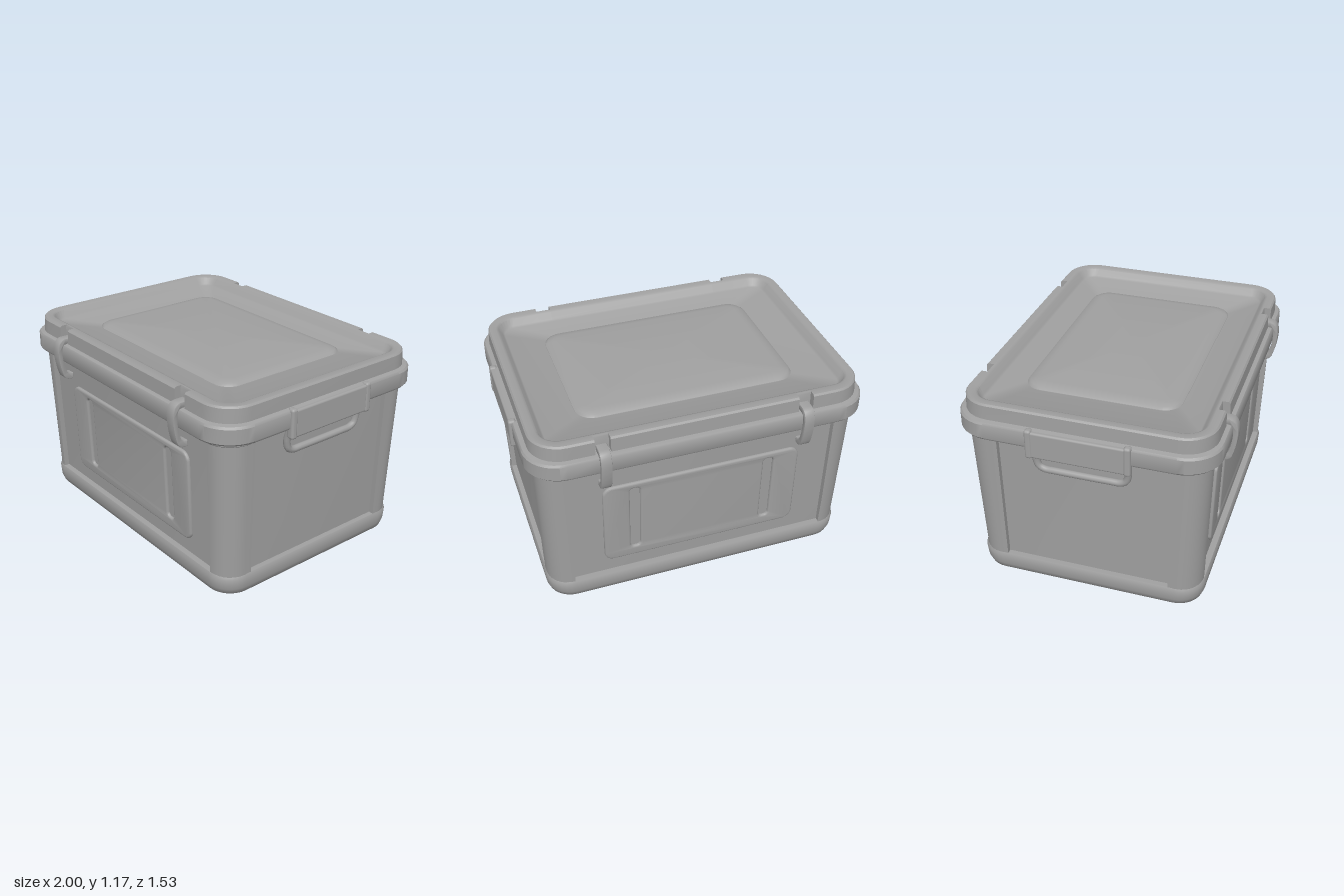
import * as THREE from 'three';
import { toCreasedNormals } from 'three/addons/utils/BufferGeometryUtils.js';
import { RoundedBoxGeometry } from 'three/addons/geometries/RoundedBoxGeometry.js';

const grey = new THREE.MeshStandardMaterial({ color: 0xa0a0a0 });
grey.name = 'grey plastic';
const CLIP_X = 0.58;

function add(parent, name, geometry) {
  const mesh = new THREE.Mesh(geometry, grey);
  mesh.name = name;
  parent.add(mesh);
  return mesh;
}

// Rounded rectangle loop; n adds clip notches of depth n in the front and back edges
function ring(w, d, r, y, n) {
  const pts = [];
  for (let k = 0; k < 4; k++) {
    const sx = k === 0 || k === 3 ? 1 : -1, sz = k < 2 ? 1 : -1;
    for (let i = 0; i <= 8; i++) {
      const a = (k + i / 8) * Math.PI / 2;
      pts.push([sx * (w - r) + r * Math.cos(a), y, sz * (d - r) + r * Math.sin(a)]);
    }
    if (n !== undefined && k % 2 === 0) {
      for (const c of [CLIP_X, -CLIP_X])
        for (const [o, m] of [[0.043, 0], [0.043, n], [-0.043, n], [-0.043, 0]])
          pts.push([sz * (c + o), y, sz * (d - m)]);
    }
  }
  return pts;
}

// Skin through loops from bottom to top, closed at both ends
function loft(rings, crease = 0.6) {
  const pos = [];
  const tri = (a, b, c) => pos.push(...a, ...b, ...c);
  const mid = (r) => [0, 1, 2].map((k) => r.reduce((s, p) => s + p[k], 0) / r.length);
  const first = rings[0], last = rings[rings.length - 1], n = first.length;
  const c0 = mid(first), c1 = mid(last);
  for (let j = 0; j < n; j++) {
    const k = (j + 1) % n;
    for (let i = 0; i < rings.length - 1; i++) {
      const a = rings[i], b = rings[i + 1];
      tri(a[j], b[j], a[k]);
      tri(a[k], b[j], b[k]);
    }
    tri(c0, first[j], first[k]);
    tri(c1, last[k], last[j]);
  }
  const g = new THREE.BufferGeometry();
  g.setAttribute('position', new THREE.Float32BufferAttribute(pos, 3));
  return toCreasedNormals(g, crease);
}

function roundRect(path, cx, cy, w, h, r) {
  const corners = [[1, 1], [-1, 1], [-1, -1], [1, -1]];
  corners.forEach(([sx, sy], k) => path.absarc(
    cx + sx * (w / 2 - r), cy + sy * (h / 2 - r), r, k * Math.PI / 2, (k + 1) * Math.PI / 2, false));
  path.closePath();
  return path;
}

// Corner post cross-section in the +x +z quadrant
function postRing(w, d, y) {
  const r = 0.14, pts = [[0.72, y, 0.485], [w, y, 0.485]];
  for (let i = 0; i <= 10; i++) {
    const a = i / 10 * Math.PI / 2;
    pts.push([w - r + r * Math.cos(a), y, d - r + r * Math.sin(a)]);
  }
  pts.push([0.78, y, d], [0.78, y, 0.485]);
  return pts;
}

function buildBody(group) {
  add(group, 'base', loft([
    ring(0.86, 0.61, 0.12, 0), ring(0.885, 0.632, 0.13, 0.006), ring(0.908, 0.653, 0.14, 0.025),
    ring(0.92, 0.667, 0.15, 0.06), ring(0.924, 0.671, 0.15, 0.12), ring(0.915, 0.663, 0.15, 0.14),
  ], 0.8));
  add(group, 'recessed walls', loft([ring(0.885, 0.627, 0.1, 0.13), ring(0.905, 0.652, 0.1, 0.96)]));
  for (const sx of [1, -1]) for (const sz of [1, -1]) {
    const rings = [postRing(0.915, 0.66, 0.13), postRing(0.935, 0.685, 0.96)].map((r) => {
      const m = r.map(([x, y, z]) => [x * sx, y, z * sz]);
      return sx * sz < 0 ? m.reverse() : m;
    });
    add(group, 'cornerPost', loft(rings));
  }
  add(group, 'collar', loft([
    ring(0.935, 0.685, 0.15, 0.945), ring(0.948, 0.695, 0.16, 0.955), ring(0.952, 0.7, 0.17, 0.99),
  ]));
}

function buildLid(group) {
  add(group, 'lid', loft([
    ring(0.955, 0.705, 0.18, 0.97, 0), ring(0.975, 0.727, 0.2, 0.973, 0), ring(0.983, 0.735, 0.2, 0.985, 0),
    ring(0.983, 0.735, 0.2, 1.068, 0), ring(0.975, 0.728, 0.2, 1.08, 0), ring(0.95, 0.705, 0.18, 1.085, 0),
    ring(0.95, 0.705, 0.18, 1.085, 0.04), ring(0.947, 0.702, 0.18, 1.165, 0.04),
    ring(0.938, 0.693, 0.17, 1.175, 0.035), ring(0.9, 0.65, 0.13, 1.175, 0),
    ring(0.885, 0.635, 0.11, 1.168, 0), ring(0.862, 0.612, 0.08, 1.13, 0), ring(0.85, 0.6, 0.07, 1.122, 0),
  ]));
  add(group, 'raised lid panel', loft([
    ring(0.645, 0.45, 0.11, 1.115), ring(0.642, 0.447, 0.11, 1.124), ring(0.625, 0.43, 0.09, 1.135),
    ring(0.595, 0.4, 0.06, 1.142), ring(0.575, 0.38, 0.045, 1.145),
  ]));
}

// Raised panel with two slots, and a pair of hook clips
function buildFace(group) {
  const shape = roundRect(new THREE.Shape(), 0, 0, 1.15, 0.535, 0.045);
  for (const x of [-0.4, 0.4])
    shape.holes.push(roundRect(new THREE.Path(), x, 0.015, 0.085, 0.48, 0.035));
  const panel = add(group, 'face panel', toCreasedNormals(new THREE.ExtrudeGeometry(shape, {
    depth: 0.012, bevelThickness: 0.01, bevelSize: 0.012, bevelSegments: 3, curveSegments: 6,
  }), 0.6));
  panel.position.set(0, 0.512, 0.634);
  panel.rotation.x = 0.03;

  const hook = new THREE.Shape();
  hook.moveTo(0.665, 1.085);
  hook.lineTo(0.72, 1.085);
  hook.quadraticCurveTo(0.742, 1.08, 0.742, 1.03);
  hook.quadraticCurveTo(0.742, 0.96, 0.72, 0.905);
  hook.quadraticCurveTo(0.71, 0.885, 0.68, 0.885);
  hook.lineTo(0.68, 0.858);
  hook.quadraticCurveTo(0.722, 0.852, 0.738, 0.885);
  hook.quadraticCurveTo(0.763, 0.96, 0.763, 1.04);
  hook.quadraticCurveTo(0.76, 1.11, 0.715, 1.112);
  hook.lineTo(0.665, 1.112);
  const g = new THREE.ExtrudeGeometry(hook, {
    depth: 0.05, bevelThickness: 0.005, bevelSize: 0.004, bevelSegments: 2, curveSegments: 8,
  });
  g.translate(0, 0, -0.025).rotateY(-Math.PI / 2);
  const hookGeo = toCreasedNormals(g, 0.6);
  for (const x of [-CLIP_X, CLIP_X]) add(group, 'clip', hookGeo).position.x = x;
}

// Side handle: grip plate, end lugs and a hanging loop
function buildHandle(group) {
  add(group, 'handle plate', new RoundedBoxGeometry(0.035, 0.16, 0.53, 3, 0.012)).position.set(0.9775, 1, 0);
  for (const z of [-0.273, 0.273])
    add(group, 'handle lug', new RoundedBoxGeometry(0.045, 0.175, 0.04, 3, 0.015)).position.set(0.9775, 1.003, z);
  const half = [[0.955, 0.96, 0.262], [0.935, 0.92, 0.262], [0.925, 0.87, 0.259],
    [0.922, 0.83, 0.246], [0.92, 0.812, 0.215], [0.92, 0.81, 0.15]];
  const points = [...half, ...half.slice().reverse().map(([x, y, z]) => [x, y, -z])];
  const path = new THREE.CatmullRomCurve3(points.map((p) => new THREE.Vector3(...p)));
  add(group, 'handle loop', new THREE.TubeGeometry(path, 60, 0.02, 10));
}

export function createModel() {
  const model = new THREE.Group();
  model.name = 'storage box';
  buildBody(model);
  buildLid(model);
  for (const turn of [0, Math.PI]) {
    const face = new THREE.Group();
    face.name = turn ? 'back face' : 'front face';
    face.rotation.y = turn;
    buildFace(face);
    const handle = new THREE.Group();
    handle.name = turn ? 'right handle' : 'left handle';
    handle.rotation.y = turn;
    buildHandle(handle);
    model.add(face, handle);
  }
  return model;
}
